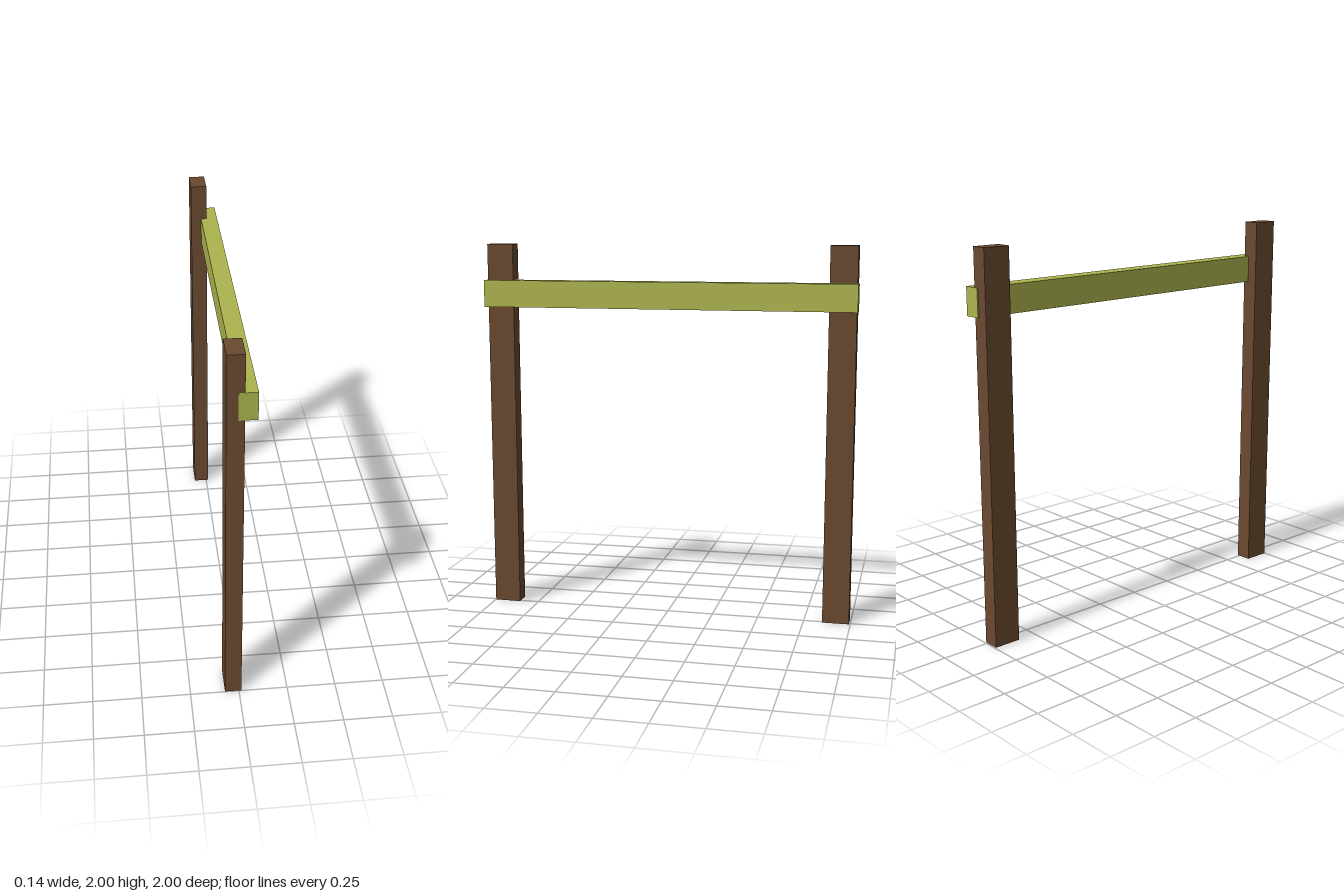
import * as THREE from 'three';

export function createModel() {
  const group = new THREE.Group();
  const darkWood = new THREE.MeshStandardMaterial({ color: 0x6a4a30, flatShading: true });
  const paintedWood = new THREE.MeshStandardMaterial({ color: 0xadb54e, flatShading: true });

  // Box given by its lower and upper corners
  function addBox(name, material, min, max) {
    const size = max.map((v, i) => v - min[i]);
    const mesh = new THREE.Mesh(new THREE.BoxGeometry(...size), material);
    mesh.position.set(...max.map((v, i) => (v + min[i]) / 2));
    mesh.name = name;
    group.add(mesh);
  }

  // Two upright posts
  addBox('frontPost', darkWood, [-0.072, 0, 0.855], [0.013, 2, 0.998]);
  addBox('backPost', darkWood, [-0.072, 0, -0.993], [0.013, 2, -0.85]);

  // Crossbar let into the posts' left faces
  addBox('crossbar', paintedWood, [-0.017, 1.665, -1], [0.072, 1.808, 1]);

  return group;
}
